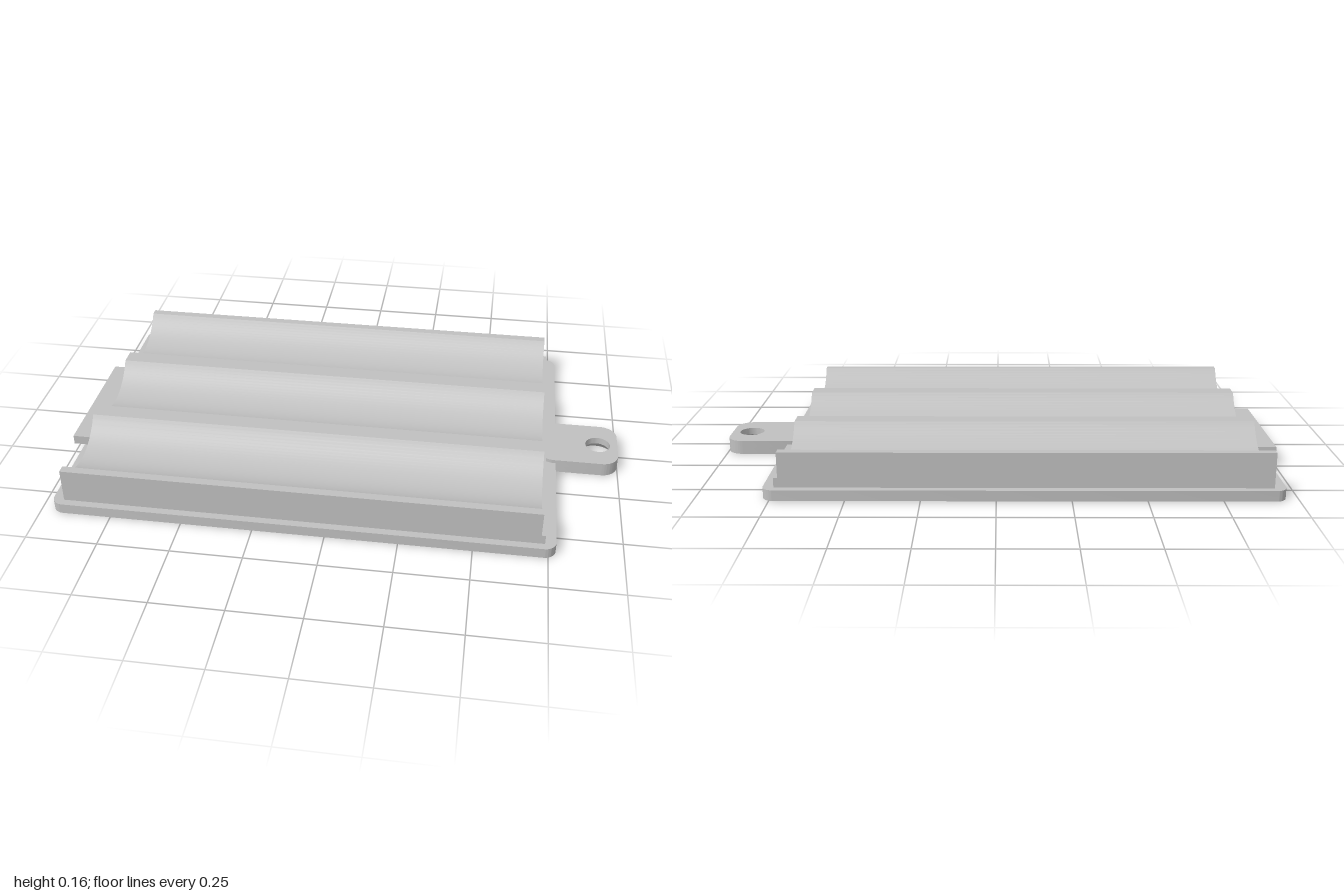
import * as THREE from 'three';
import { toCreasedNormals } from 'three/addons/utils/BufferGeometryUtils.js';

const grey = new THREE.MeshStandardMaterial({ color: 0xc0c0c0 });
grey.name = 'light grey plastic';
const greyOpen = new THREE.MeshStandardMaterial({ color: 0xc0c0c0, side: THREE.DoubleSide });
greyOpen.name = 'light grey plastic';

// Rounded rectangle on the ground plane
function roundedRect(x0, x1, halfZ, r) {
  const s = new THREE.Shape();
  s.absarc(x1 - r, -halfZ + r, r, -Math.PI / 2, 0);
  s.absarc(x1 - r, halfZ - r, r, 0, Math.PI / 2);
  s.absarc(x0 + r, halfZ - r, r, Math.PI / 2, Math.PI);
  s.absarc(x0 + r, -halfZ + r, r, Math.PI, Math.PI * 1.5);
  s.closePath();
  return s;
}

function extrude(shape, depth) {
  return new THREE.ExtrudeGeometry(shape, { depth, bevelEnabled: false, curveSegments: 16 });
}

// Horizontal slab between two heights
function slab(shape, y0, y1) {
  const g = extrude(shape, y1 - y0).rotateX(-Math.PI / 2).translate(0, y0, 0);
  return toCreasedNormals(g, 0.6);
}

function box(x0, x1, y0, y1, halfZ) {
  return new THREE.BoxGeometry(x1 - x0, y1 - y0, halfZ * 2)
    .translate((x0 + x1) / 2, (y0 + y1) / 2, 0);
}

export function createModel() {
  const group = new THREE.Group();
  const add = (name, geometry, material = grey) => {
    const mesh = new THREE.Mesh(geometry, material);
    mesh.name = name;
    group.add(mesh);
  };

  // Base plate and the low step carrying the cradle
  add('basePlate', slab(roundedRect(-0.96, 0.775, 0.607, 0.04), 0, 0.037));
  add('step', box(-0.92, 0.737, 0.03, 0.071, 0.58));

  // Cradle: cross-section with three round troughs, run along x
  const top = 0.159, low = 0.072, half = 0.162;
  const r = (half * half + (top - low) ** 2) / (2 * (top - low));
  const a = Math.asin(half / r);
  const profile = new THREE.Shape();
  profile.moveTo(-0.58, 0.04);
  profile.lineTo(0.58, 0.04);
  profile.lineTo(0.58, top);
  for (const c of [0.388, 0, -0.388]) {
    profile.lineTo(c + half, top);
    profile.absarc(c, low + r, r, -Math.PI / 2 + a, -Math.PI / 2 - a, true);
  }
  profile.lineTo(-0.58, top);
  profile.closePath();
  const cradle = extrude(profile, 1.643).rotateY(Math.PI / 2).translate(-0.92, 0, 0);
  add('cradle', toCreasedNormals(cradle, 0.5));

  // Flat tongue at the opposite end
  add('tongue', box(-1, -0.91, 0.037, 0.071, 0.249));

  // Screw ear: small hole above, countersink below
  const holeX = 0.928, holeR = 0.045, sinkR = 0.066, sinkY = 0.025;
  for (const [name, y0, y1, hr] of [['earTop', sinkY, 0.05, holeR], ['earBottom', 0, sinkY, sinkR]]) {
    const ear = roundedRect(0.71, 1, 0.12, 0.06);
    ear.holes.push(new THREE.Path().absarc(holeX, 0, hr, 0, Math.PI * 2, true));
    add(name, slab(ear, y0, y1));
  }
  const sink = new THREE.LatheGeometry(
    [new THREE.Vector2(sinkR, 0), new THREE.Vector2(holeR, sinkY)], 32).translate(holeX, 0, 0);
  add('countersink', sink, greyOpen);

  return group;
}
